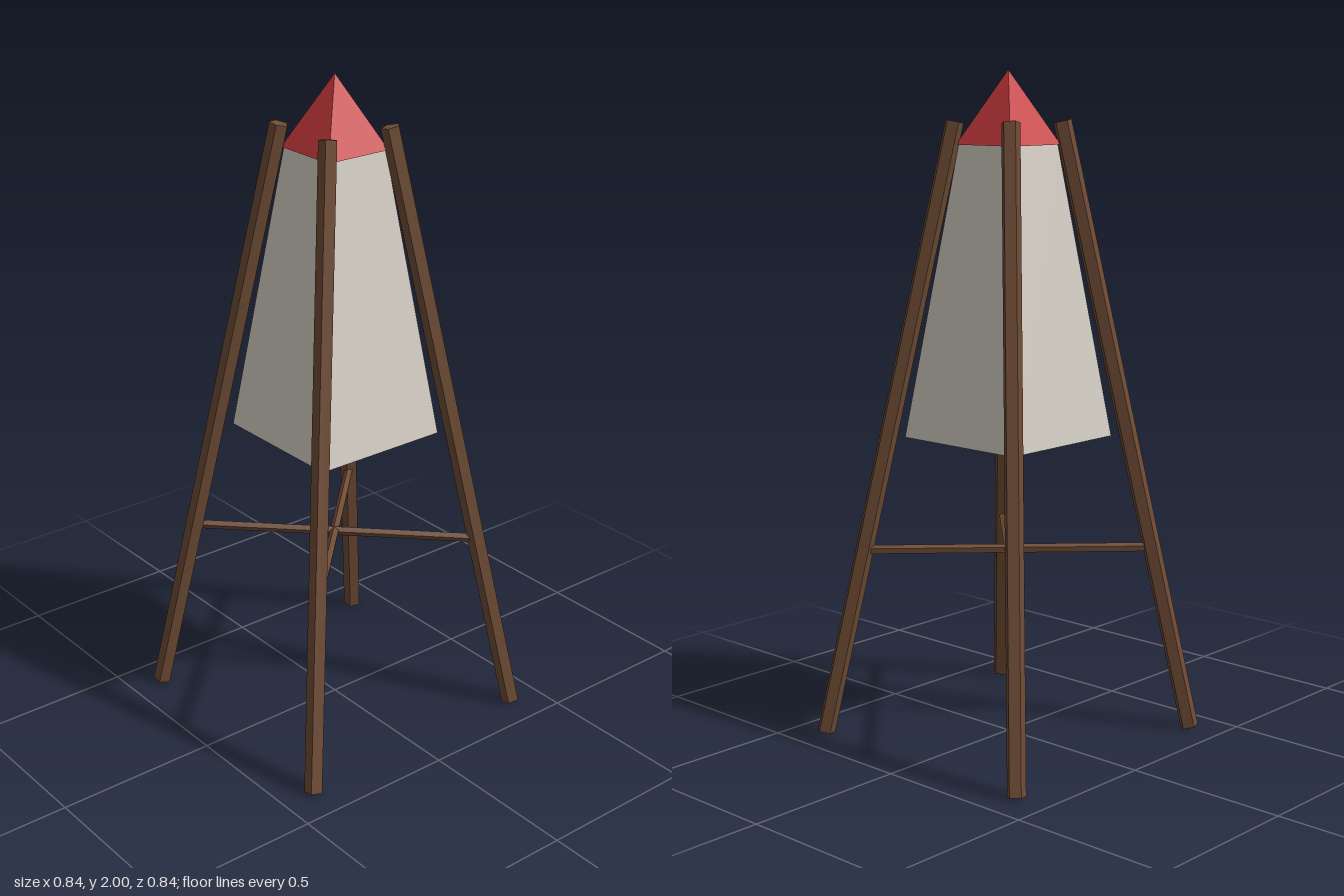
import * as THREE from 'three';

const mat = (name, color) => {
  const m = new THREE.MeshStandardMaterial({ color });
  m.name = name;
  return m;
};

// Five-sided pole running between two points
function pole(name, a, b, radius, material) {
  const dir = b.clone().sub(a);
  const geo = new THREE.CylinderGeometry(radius, radius, dir.length(), 5, 1, false, Math.PI).toNonIndexed();
  geo.computeVertexNormals();
  const mesh = new THREE.Mesh(geo, material);
  mesh.name = name;
  mesh.position.copy(a).add(b).multiplyScalar(0.5);
  mesh.quaternion.setFromUnitVectors(new THREE.Vector3(0, 1, 0), dir.normalize());
  return mesh;
}

// Square frustum or pyramid, sized by half widths and sides facing the axes
function taper(name, halfTop, halfBottom, y0, y1, material) {
  const s = Math.SQRT2;
  const geo = new THREE.CylinderGeometry(halfTop * s, halfBottom * s, y1 - y0, 4, 1, false, Math.PI / 4).toNonIndexed();
  geo.computeVertexNormals();
  const mesh = new THREE.Mesh(geo, material);
  mesh.name = name;
  mesh.position.y = (y0 + y1) / 2;
  return mesh;
}

export function createModel() {
  const group = new THREE.Group();
  group.name = 'fourLeggedTower';
  const wood = mat('brown wood', 0x6e4b35);
  const canvas = mat('pale canvas', 0xd6d0c6);
  const red = mat('red cap', 0xc83a3c);
  const V = (x, y, z) => new THREE.Vector3(x, y, z);

  // Splayed legs
  for (const x of [-1, 1]) {
    for (const z of [-1, 1]) {
      const name = (z > 0 ? 'front' : 'back') + (x > 0 ? 'Left' : 'Right') + 'Leg';
      group.add(pole(name, V(x * 0.395, 0.006, z * 0.395), V(x * 0.111, 1.853, z * 0.111), 0.0285, wood));
    }
  }

  // Diagonal braces joining opposite legs
  for (const x of [-1, 1]) {
    group.add(pole('crossBrace', V(x * 0.316, 0.575, 0.316), V(-x * 0.316, 0.575, -0.316), 0.0143, wood));
  }

  // Tapered body and pointed cap
  group.add(taper('body', 0.102, 0.218, 0.92, 1.787, canvas));
  group.add(taper('cap', 0, 0.108, 1.785, 2, red));

  return group;
}
